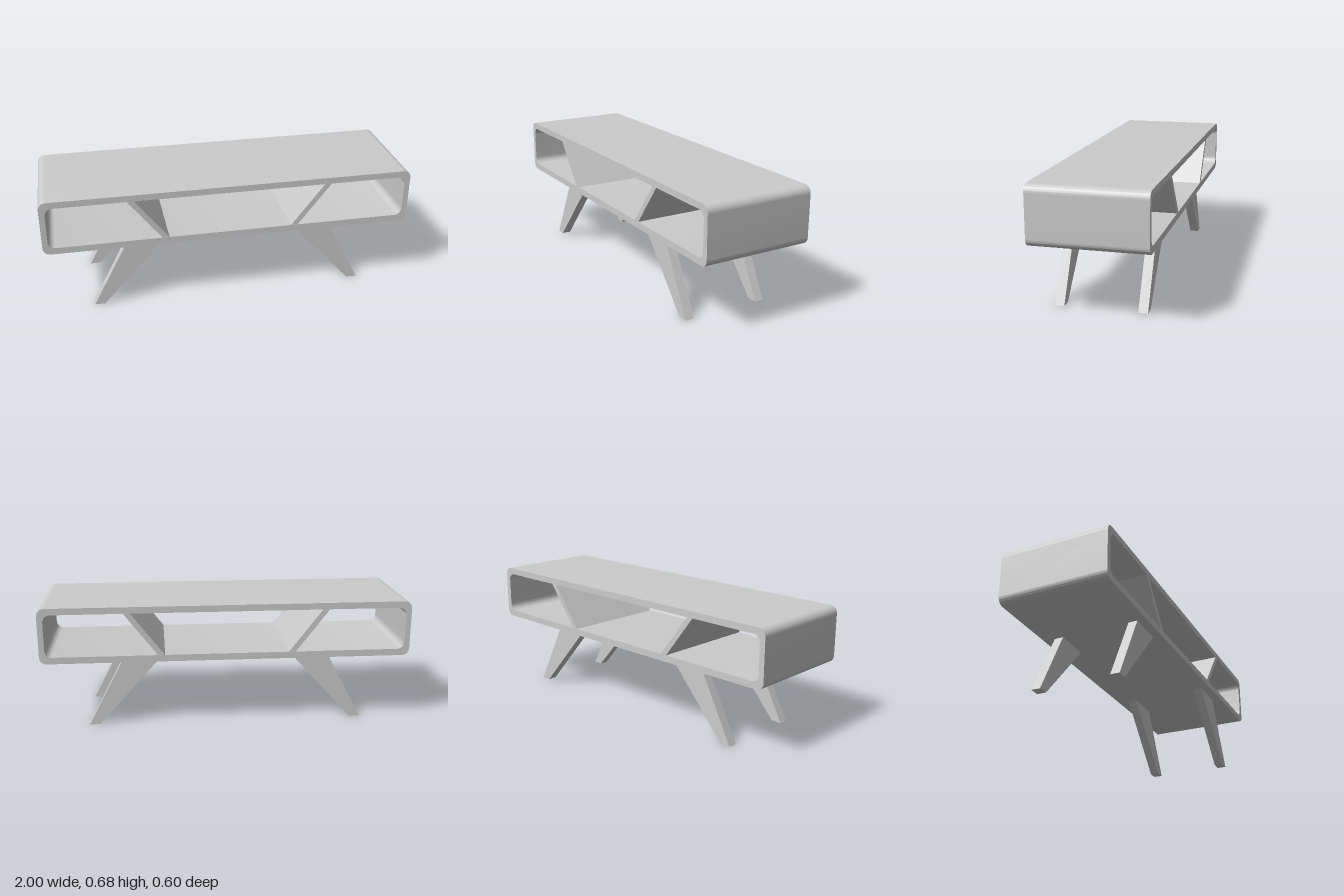
import * as THREE from 'three';
import { toCreasedNormals } from 'three/addons/utils/BufferGeometryUtils.js';

const material = new THREE.MeshStandardMaterial({ color: 0xcccccc });

// Rounded rectangle outline, usable as a shape or a hole
function roundedRect(path, x0, y0, x1, y1, r) {
  path.absarc(x1 - r, y0 + r, r, -Math.PI / 2, 0);
  path.absarc(x1 - r, y1 - r, r, 0, Math.PI / 2);
  path.absarc(x0 + r, y1 - r, r, Math.PI / 2, Math.PI);
  path.absarc(x0 + r, y0 + r, r, Math.PI, Math.PI * 1.5);
  path.closePath();
  return path;
}

// Extrude a front outline between two z positions
function slab(name, shape, zBack, zFront) {
  const geometry = new THREE.ExtrudeGeometry(shape, {
    depth: zFront - zBack, bevelEnabled: false, curveSegments: 10,
  });
  geometry.translate(0, 0, zBack);
  const mesh = new THREE.Mesh(toCreasedNormals(geometry, 0.6), material);
  mesh.name = name;
  return mesh;
}

// Polygon mirrored to either side of the centre
function sidePolygon(points, side) {
  return new THREE.Shape(points.map(([x, y]) => new THREE.Vector2(x * side, y)));
}

export function createModel() {
  const group = new THREE.Group();
  group.name = 'mediaConsole';

  // Cabinet: rounded tube, open at front and back
  const frame = roundedRect(new THREE.Shape(), -1, 0.377, 1, 0.68, 0.04);
  frame.holes.push(roundedRect(new THREE.Path(), -0.97, 0.413, 0.97, 0.645, 0.04));
  group.add(slab('cabinetFrame', frame, -0.298, 0.299));

  const dividerOutline = [[0.335, 0.413], [0.372, 0.413], [0.552, 0.645], [0.515, 0.645]];
  const legOutline = [[0.36, 0.377], [0.70, 0], [0.757, 0], [0.56, 0.377]];

  for (const [side, label] of [[1, 'left'], [-1, 'right']]) {
    // Slanted divider
    group.add(slab(label + 'Divider', sidePolygon(dividerOutline, side), -0.297, 0.298));
    // Splayed, tapered legs
    const leg = sidePolygon(legOutline, side);
    group.add(slab(label + 'FrontLeg', leg, 0.2, 0.25));
    group.add(slab(label + 'BackLeg', leg, -0.233, -0.183));
  }
  return group;
}
